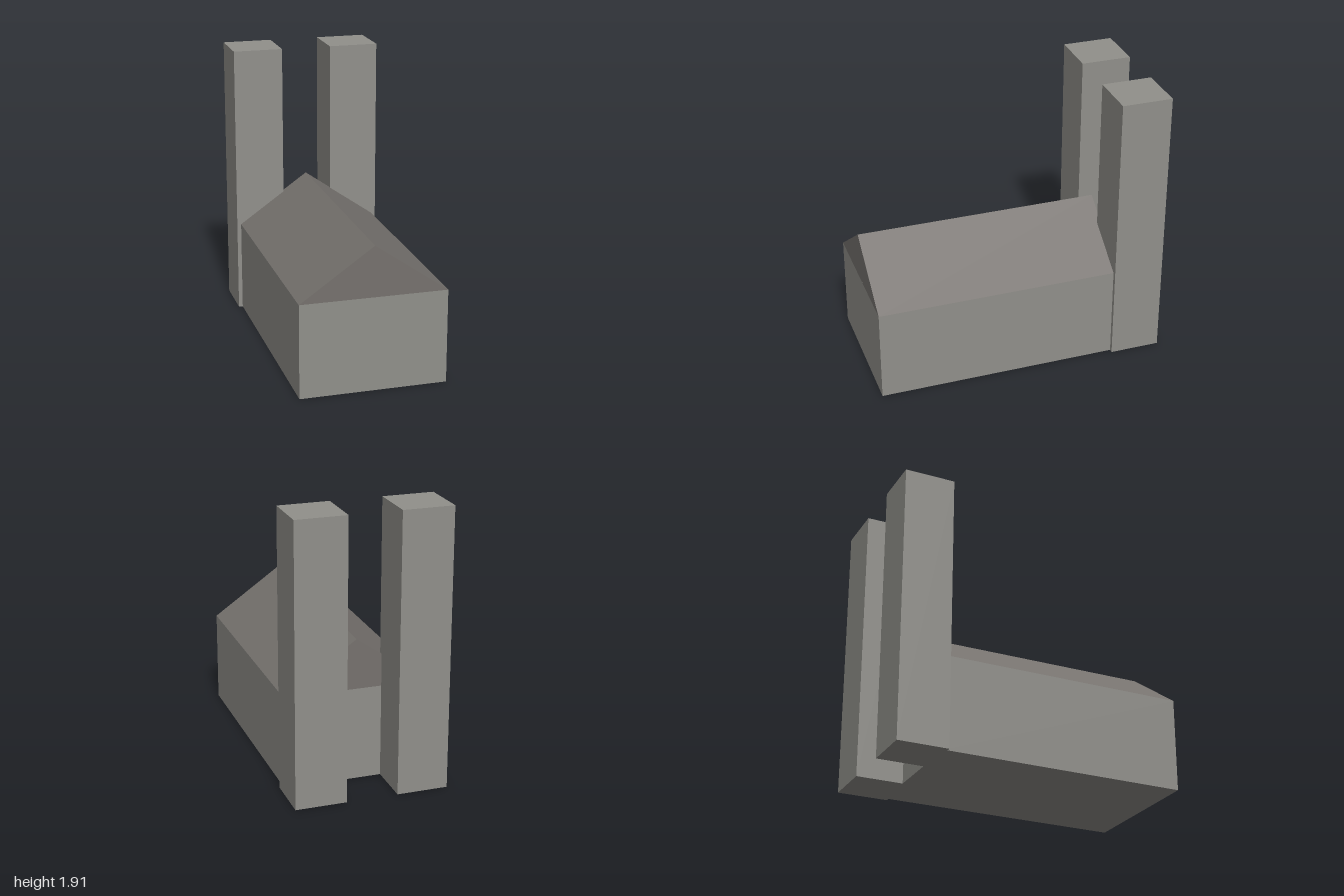
import * as THREE from 'three';

const WALL_HEIGHT = 0.64;
const RIDGE_HEIGHT = 0.985;
const HALL_HALF_WIDTH = 0.494;
const HALL_BACK = -0.68;
const HALL_FRONT = 1;
const TOWER_SIZE = 0.347;
const TOWER_HEIGHT = 1.913;

export function createModel() {
  const model = new THREE.Group();
  model.name = 'twinTowerHall';
  const wallMaterial = new THREE.MeshStandardMaterial({ color: 0x91908b });
  const roofMaterial = new THREE.MeshStandardMaterial({ color: 0x76726e });

  const add = (name, geometry, material, x, y, z) => {
    const mesh = new THREE.Mesh(geometry, material);
    mesh.name = name;
    mesh.position.set(x, y, z);
    model.add(mesh);
  };

  // Long rectangular hall
  const length = HALL_FRONT - HALL_BACK;
  add('hall', new THREE.BoxGeometry(2 * HALL_HALF_WIDTH, WALL_HEIGHT, length),
    wallMaterial, 0, WALL_HEIGHT / 2, (HALL_FRONT + HALL_BACK) / 2);

  // Gabled roof: a triangle extruded along the hall
  const gable = new THREE.Shape();
  gable.moveTo(-HALL_HALF_WIDTH, 0);
  gable.lineTo(HALL_HALF_WIDTH, 0);
  gable.lineTo(0, RIDGE_HEIGHT - WALL_HEIGHT);
  gable.closePath();
  add('gableRoof', new THREE.ExtrudeGeometry(gable, { depth: length, bevelEnabled: false }),
    roofMaterial, 0, WALL_HEIGHT, HALL_BACK);

  // Two square towers overlapping the back corners
  for (const [name, side] of [['leftTower', 1], ['rightTower', -1]]) {
    add(name, new THREE.BoxGeometry(TOWER_SIZE, TOWER_HEIGHT, TOWER_SIZE),
      wallMaterial, side * 0.3485, TOWER_HEIGHT / 2, -1 + TOWER_SIZE / 2);
  }
  return model;
}
